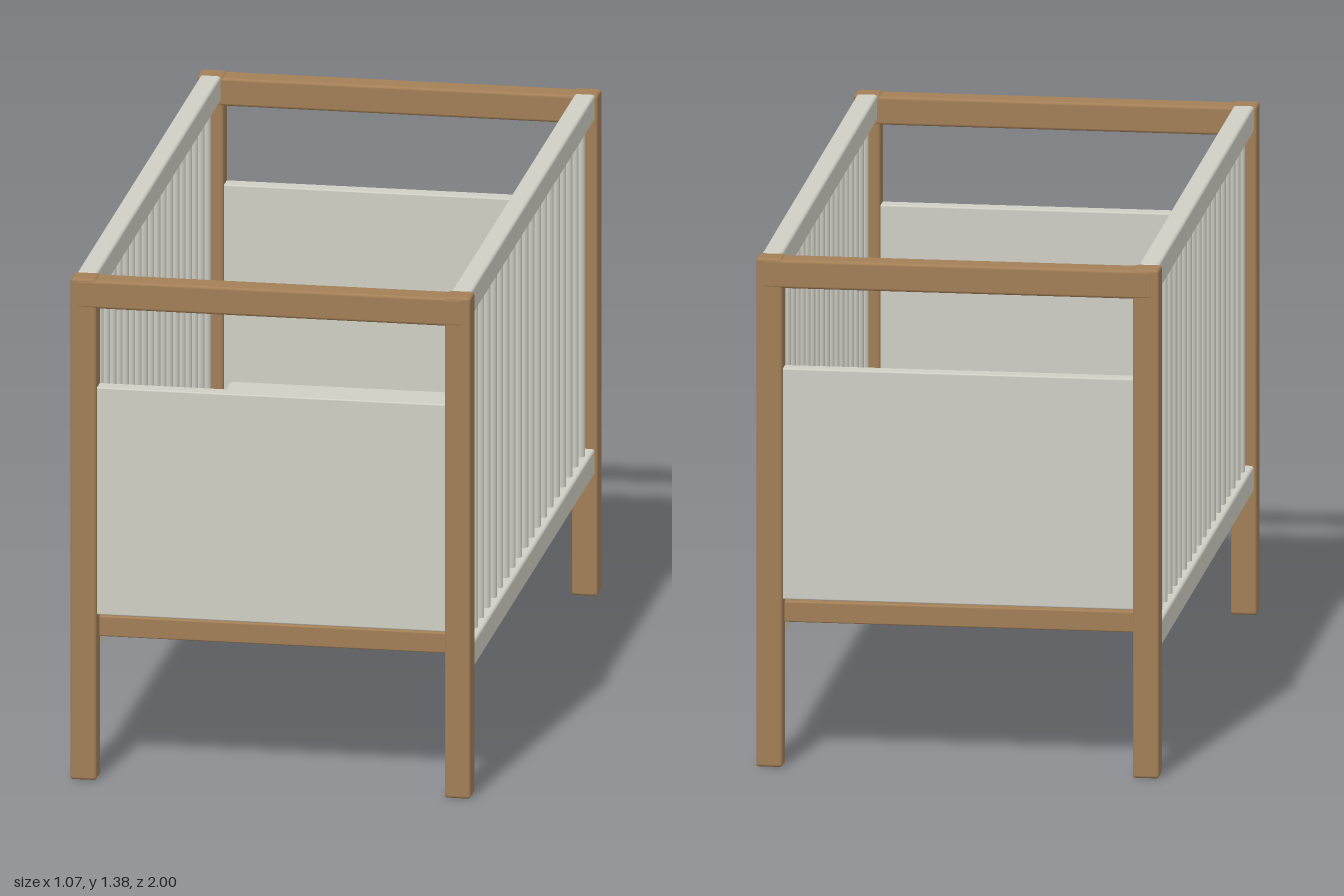
import * as THREE from 'three';
import { RoundedBoxGeometry } from 'three/addons/geometries/RoundedBoxGeometry.js';

const wood = new THREE.MeshStandardMaterial({ color: 0xa37f57 });
wood.name = 'wood';
const paint = new THREE.MeshStandardMaterial({ color: 0xd0cfc5 });
paint.name = 'pale paint';
const green = new THREE.MeshStandardMaterial({ color: 0x7a9174 });
green.name = 'sage fabric';

export function createModel() {
  const crib = new THREE.Group();
  crib.name = 'crib';

  const add = (name, geometry, material, x, y, z) => {
    const mesh = new THREE.Mesh(geometry, material);
    mesh.name = name;
    mesh.position.set(x, y, z);
    crib.add(mesh);
    return mesh;
  };
  const box = (name, material, w, h, d, x, y, z, r = 0.008) =>
    add(name, new RoundedBoxGeometry(w, h, d, 2, r), material, x, y, z);

  // Four corner posts
  for (const sx of [-1, 1]) {
    for (const sz of [-1, 1]) {
      box('cornerPost', wood, 0.07, 1.38, 0.068, sx * 0.502, 0.69, sz * 0.965);
    }
  }

  // End rails and solid end panels
  for (const sz of [-1, 1]) {
    box('endTopRail', wood, 1.04, 0.077, 0.07, 0, 1.338, sz * 0.965);
    box('endPanel', paint, 0.94, 0.626, 0.046, 0, 0.767, sz * 0.965, 0.004);
  }

  // Side rails with round bars between them
  const barGeometry = new THREE.CylinderGeometry(0.014, 0.014, 0.93, 12);
  for (const sx of [-1, 1]) {
    const x = sx * 0.502;
    box('sideTopRail', paint, 0.055, 0.072, 1.88, x, 1.345, 0);
    box('sideBottomRail', paint, 0.055, 0.072, 1.88, x, 0.37, 0);
    for (let i = -9; i <= 9; i++) {
      add('sideBar', barGeometry, paint, x, 0.857, i * 0.0957);
    }
  }

  // Platform and mattress
  box('platform', wood, 0.945, 0.056, 1.9, 0, 0.412, 0, 0.004);
  box('mattress', paint, 0.9, 0.113, 1.82, 0, 0.4975, 0, 0.02);

  // Cushion: a grid box with rounded corners in plan, swelling to the middle
  const cushion = new THREE.BoxGeometry(2, 2, 2, 16, 2, 16);
  const p = cushion.attributes.position;
  for (let i = 0; i < p.count; i++) {
    const u = p.getX(i), v = p.getY(i), w = p.getZ(i);
    const swell = 0.008 + 0.018 * Math.sqrt((1 - u ** 4) * (1 - w ** 4));
    const pullX = 1 - 0.1 * w ** 8;
    const pullZ = 1 - 0.1 * u ** 8;
    p.setXYZ(i, u * 0.395 * pullX, v * swell, w * 0.463 * pullZ);
  }
  cushion.computeVertexNormals();
  add('cushion', cushion, green, 0, 0.58, 0.323);

  return crib;
}
